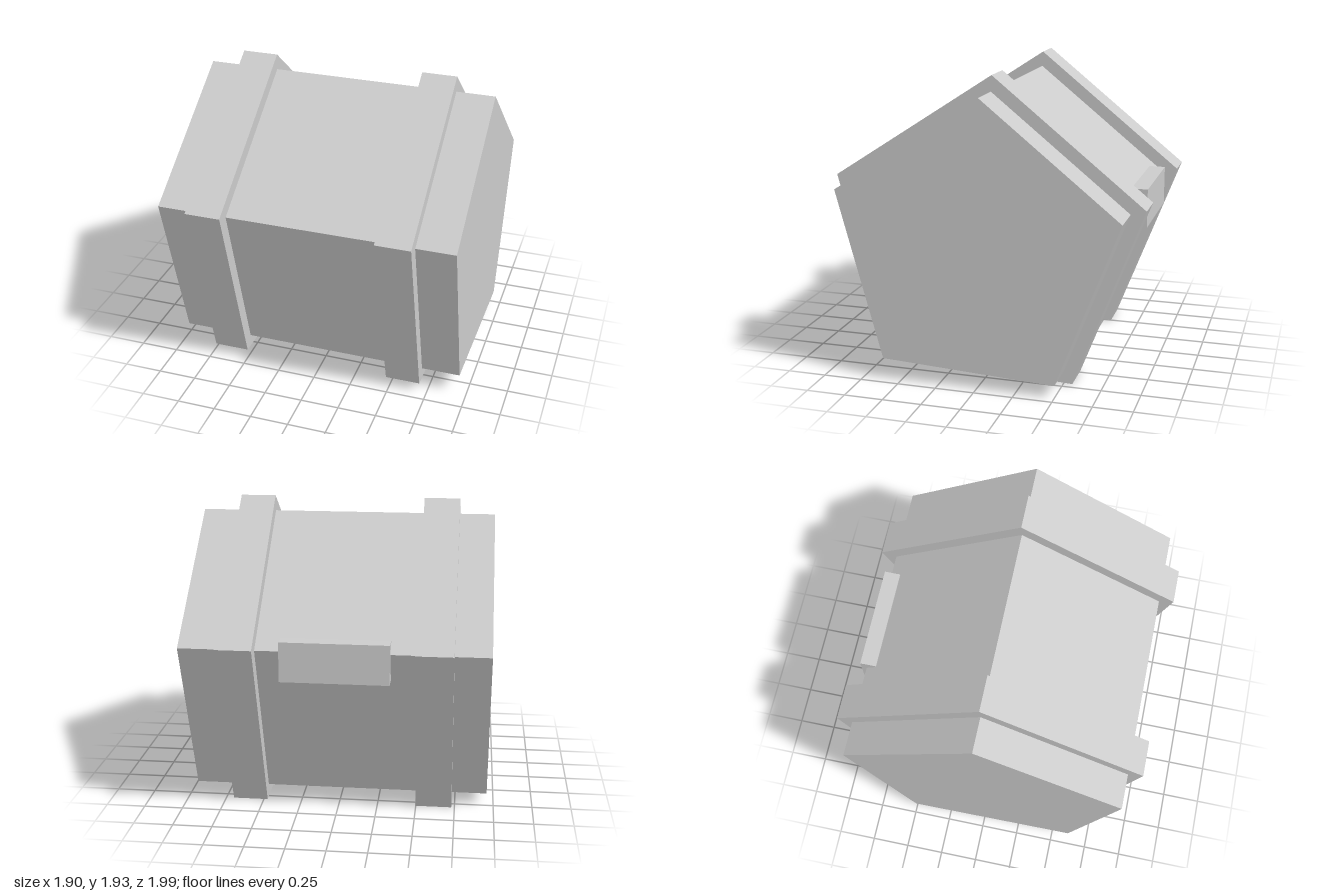
import * as THREE from 'three';

const material = new THREE.MeshStandardMaterial({ color: 0xcccccc, flatShading: true });
const CENTER_Y = 0.886, CENTER_Z = 0.018;
const TILT = THREE.MathUtils.degToRad(2.9);

// Five-sided prism lying along x, its top corner leaning slightly backward
function prism(name, radius, x0, x1) {
  const geometry = new THREE.CylinderGeometry(radius, radius, x1 - x0, 5, 1, false, -Math.PI / 2 - TILT);
  geometry.rotateZ(-Math.PI / 2);
  const mesh = new THREE.Mesh(geometry, material);
  mesh.name = name;
  mesh.position.set((x0 + x1) / 2, CENTER_Y, CENTER_Z);
  return mesh;
}

export function createModel() {
  const group = new THREE.Group();
  group.name = 'barrel';

  // Barrel body
  group.add(prism('body', 0.95, -0.955, 0.95));

  // Raised bands around the body
  group.add(prism('rightBand', 1.05, -0.73, -0.5));
  group.add(prism('leftBand', 1.05, 0.475, 0.7));

  // Latch block on the back corner
  const latch = new THREE.Mesh(new THREE.BoxGeometry(0.67, 0.25, 0.105), material);
  latch.name = 'latch';
  latch.position.set(-0.013, 1.076, -0.882);
  group.add(latch);

  return group;
}
